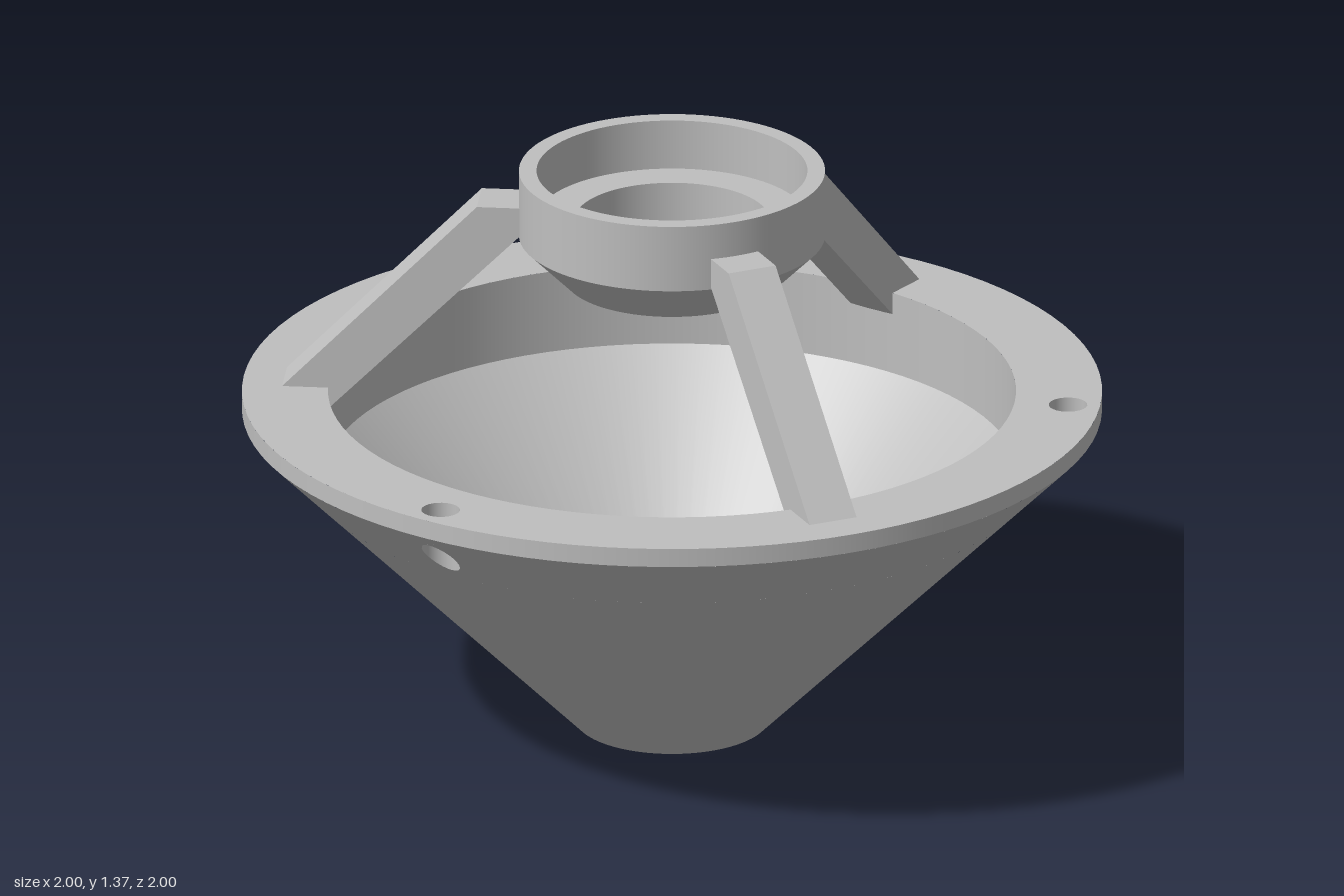
import * as THREE from 'three';

const RAD = Math.PI / 180;
const STEP = 3.75 * RAD;            // one of 96 sides
const LEGS = [40.5, 160.5, 280.5];  // headings, measured from +z towards +x
const HOLES = [-19.5, 100.5];
const HOLE_R = 0.045, HOLE_AT = 0.925, HOLE_SIDES = 24;
const TOP = 0.82;
const coneY = r => r - 0.225;       // outer wall of the funnel

export function createModel() {
  const model = new THREE.Group();
  const grey = new THREE.MeshStandardMaterial({ color: 0xbfbfbf });
  grey.name = 'grey';

  function add(parent, name, geometry, heading = 0) {
    const mesh = new THREE.Mesh(geometry, grey);
    mesh.name = name;
    mesh.rotation.y = heading * RAD;
    parent.add(mesh);
    return mesh;
  }

  function group(name) {
    const g = new THREE.Group();
    g.name = name;
    model.add(g);
    return g;
  }

  // Revolved strip between two profile points, with crisp ends
  function band(parent, name, a, b, start = 0, sides = 96) {
    const pts = [new THREE.Vector2(...a), new THREE.Vector2(...b)];
    add(parent, name, new THREE.LatheGeometry(pts, sides, start * RAD, sides * STEP));
  }

  // Strip with gaps of 15 degrees where the hole patches sit
  function gappedBand(parent, name, a, b) {
    band(parent, name, a, b, HOLES[0] + 7.5, 28);
    band(parent, name, a, b, HOLES[1] + 7.5, 60);
  }

  // Points of a bolt hole in (angle, radius) coordinates
  const holePoints = [];
  for (let i = 0; i < HOLE_SIDES; i++) {
    const t = i / HOLE_SIDES * Math.PI * 2;
    const x = HOLE_R * Math.sin(t), z = HOLE_AT + HOLE_R * Math.cos(t);
    holePoints.push(new THREE.Vector2(Math.atan2(x, z), Math.hypot(x, z)));
  }

  // Pierced sector, drawn flat and wrapped around the axis
  function patch(inner, faceUp) {
    const outline = [];
    for (let i = -2; i <= 2; i++) outline.push(new THREE.Vector2(i * STEP, inner));
    for (let i = 2; i >= -2; i--) outline.push(new THREE.Vector2(i * STEP, 1));
    const shape = new THREE.Shape(outline);
    shape.holes.push(new THREE.Path(holePoints));
    const geo = new THREE.ShapeGeometry(shape);
    const p = geo.attributes.position, n = geo.attributes.normal;
    for (let i = 0; i < p.count; i++) {
      const a = faceUp ? -p.getX(i) : p.getX(i), r = p.getY(i);
      const s = Math.sin(a), c = Math.cos(a);
      p.setXYZ(i, r * s, faceUp ? TOP : coneY(r), r * c);
      if (faceUp) n.setXYZ(i, 0, 1, 0);
      else n.setXYZ(i, s * Math.SQRT1_2, -Math.SQRT1_2, c * Math.SQRT1_2);
    }
    return geo;
  }

  // Bore of a bolt hole, its lower end following the cone
  function boreGeometry() {
    const geo = new THREE.LatheGeometry(
      [new THREE.Vector2(HOLE_R, TOP), new THREE.Vector2(HOLE_R, 0)], HOLE_SIDES);
    geo.translate(0, 0, HOLE_AT);
    const p = geo.attributes.position;
    for (let i = 0; i < p.count; i++) {
      if (p.getY(i) < 0.1) p.setY(i, coneY(Math.hypot(p.getX(i), p.getZ(i))));
    }
    return geo;
  }

  // Funnel body
  const funnel = group('funnel');
  band(funnel, 'outerCone', [0.225, 0], [0.85, coneY(0.85)]);
  gappedBand(funnel, 'upperCone', [0.85, coneY(0.85)], [1, coneY(1)]);
  band(funnel, 'rimEdge', [1, coneY(1)], [1, TOP]);
  gappedBand(funnel, 'rimTop', [1, TOP], [0.8, TOP]);
  band(funnel, 'innerWall', [0.8, TOP], [0.8, 0.62]);
  band(funnel, 'innerCone', [0.8, 0.62], [0.18, 0]);
  band(funnel, 'bottomLip', [0.18, 0], [0.225, 0]);

  // Two bolt holes through the rim
  for (const heading of HOLES) {
    add(funnel, 'rimTopPatch', patch(0.8, true), heading);
    add(funnel, 'conePatch', patch(0.85, false), heading);
    add(funnel, 'boltHole', boreGeometry(), heading);
  }

  // Raised hub: closed profile with a stepped bore
  const hub = group('hub');
  const profile = [[0.25, 1.103], [0.356, 1.209], [0.356, 1.37], [0.315, 1.37],
    [0.315, 1.25], [0.225, 1.25], [0.225, 1.103]];
  profile.forEach((a, i) => band(hub, 'hubRing', a, profile[(i + 1) % profile.length]));

  // Three slanted legs, notched over the inner edge of the rim
  const side = new THREE.Shape([[0.335, 1.285], [0.45, 1.285], [0.905, TOP], [0.8, TOP],
    [0.8, 0.765], [0.345, 1.22]].map(q => new THREE.Vector2(...q)));
  const leg = new THREE.ExtrudeGeometry(side, { depth: 0.12, bevelEnabled: false });
  leg.translate(0, 0, -0.06);
  leg.rotateY(-Math.PI / 2);
  const legs = group('legs');
  for (const heading of LEGS) add(legs, 'leg', leg, heading);

  return model;
}
